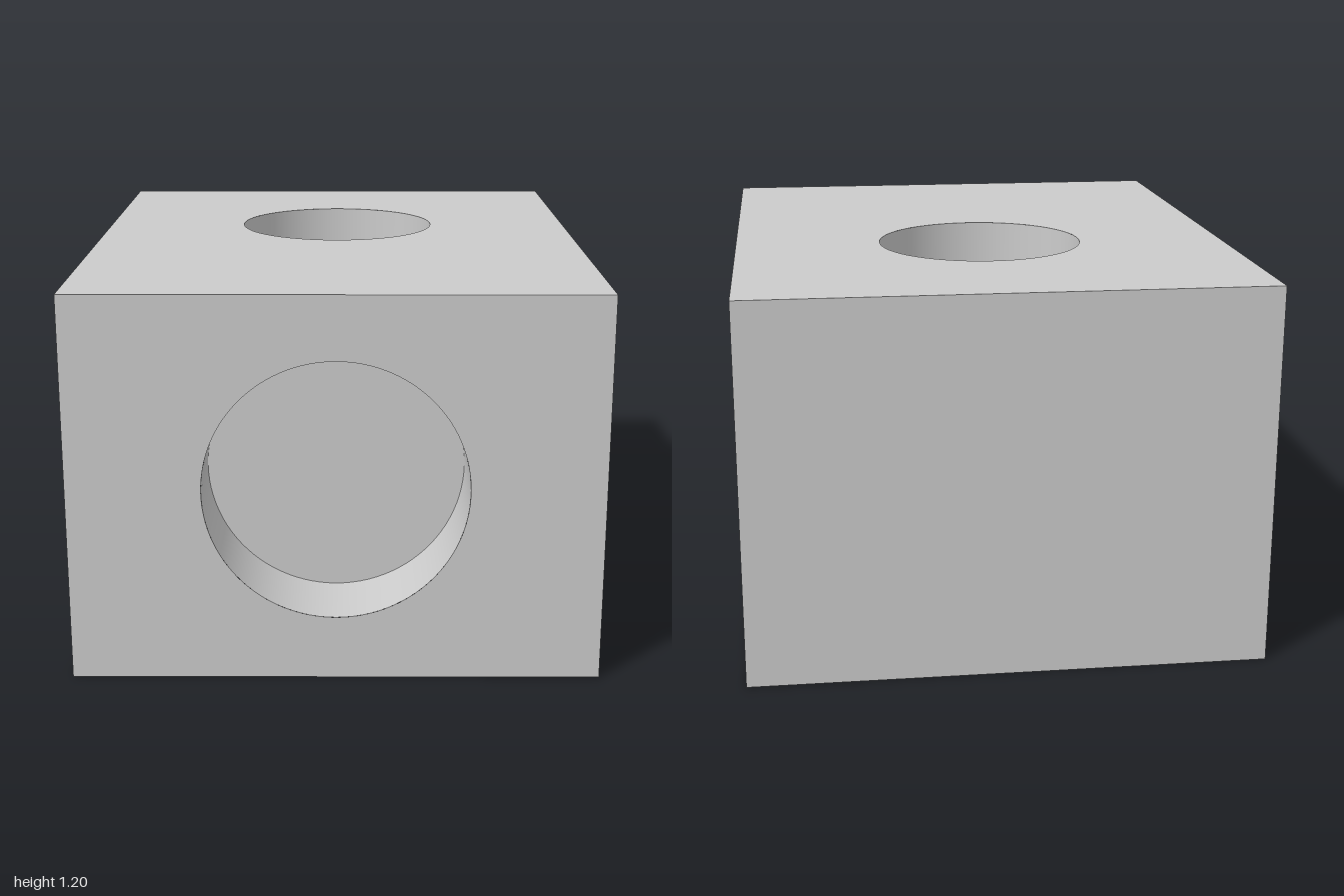
import * as THREE from 'three';

const W = 1.61, H = 1.195, D = 2;            // block size
const BORE_R = 0.333, BORE_Z = -0.21;        // vertical through hole
const POCKET_R = 0.4, POCKET_DEPTH = 0.267;  // blind hole in the front
const SEGMENTS = 96;

// Flat rectangle in XY with a round hole
function holedPanel(w, h, r, cy) {
  const shape = new THREE.Shape([
    new THREE.Vector2(-w / 2, -h / 2), new THREE.Vector2(w / 2, -h / 2),
    new THREE.Vector2(w / 2, h / 2), new THREE.Vector2(-w / 2, h / 2),
  ]);
  const hole = new THREE.Path();
  hole.absarc(0, cy, r, 0, Math.PI * 2, true);
  shape.holes.push(hole);
  return new THREE.ShapeGeometry(shape, SEGMENTS);
}

export function createModel() {
  const model = new THREE.Group();
  model.name = 'drilledBlock';
  const outer = new THREE.MeshStandardMaterial({ color: 0xcccccc });
  const inner = new THREE.MeshStandardMaterial({ color: 0xcccccc, side: THREE.BackSide });

  const add = (name, geometry, position, rotation = [0, 0, 0], material = outer) => {
    const mesh = new THREE.Mesh(geometry, material);
    mesh.name = name;
    mesh.position.set(...position);
    mesh.rotation.set(...rotation);
    model.add(mesh);
  };
  const q = Math.PI / 2;

  // Block faces
  add('topFace', holedPanel(W, D, BORE_R, -BORE_Z), [0, H, 0], [-q, 0, 0]);
  add('bottomFace', holedPanel(W, D, BORE_R, BORE_Z), [0, 0, 0], [q, 0, 0]);
  add('frontFace', holedPanel(W, H, POCKET_R, 0), [0, H / 2, D / 2]);
  add('backFace', new THREE.PlaneGeometry(W, H), [0, H / 2, -D / 2], [0, Math.PI, 0]);
  for (const [name, s] of [['leftFace', 1], ['rightFace', -1]]) {
    add(name, new THREE.PlaneGeometry(D, H), [s * W / 2, H / 2, 0], [0, s * q, 0]);
  }

  // Vertical through hole
  add('boreWall', new THREE.CylinderGeometry(BORE_R, BORE_R, H, SEGMENTS, 1, true),
    [0, H / 2, BORE_Z], [0, 0, 0], inner);

  // Blind front hole: wall and floor
  add('pocketWall', new THREE.CylinderGeometry(POCKET_R, POCKET_R, POCKET_DEPTH, SEGMENTS, 1, true),
    [0, H / 2, D / 2 - POCKET_DEPTH / 2], [q, 0, 0], inner);
  add('pocketFloor', new THREE.CircleGeometry(POCKET_R, SEGMENTS), [0, H / 2, D / 2 - POCKET_DEPTH]);

  return model;
}
